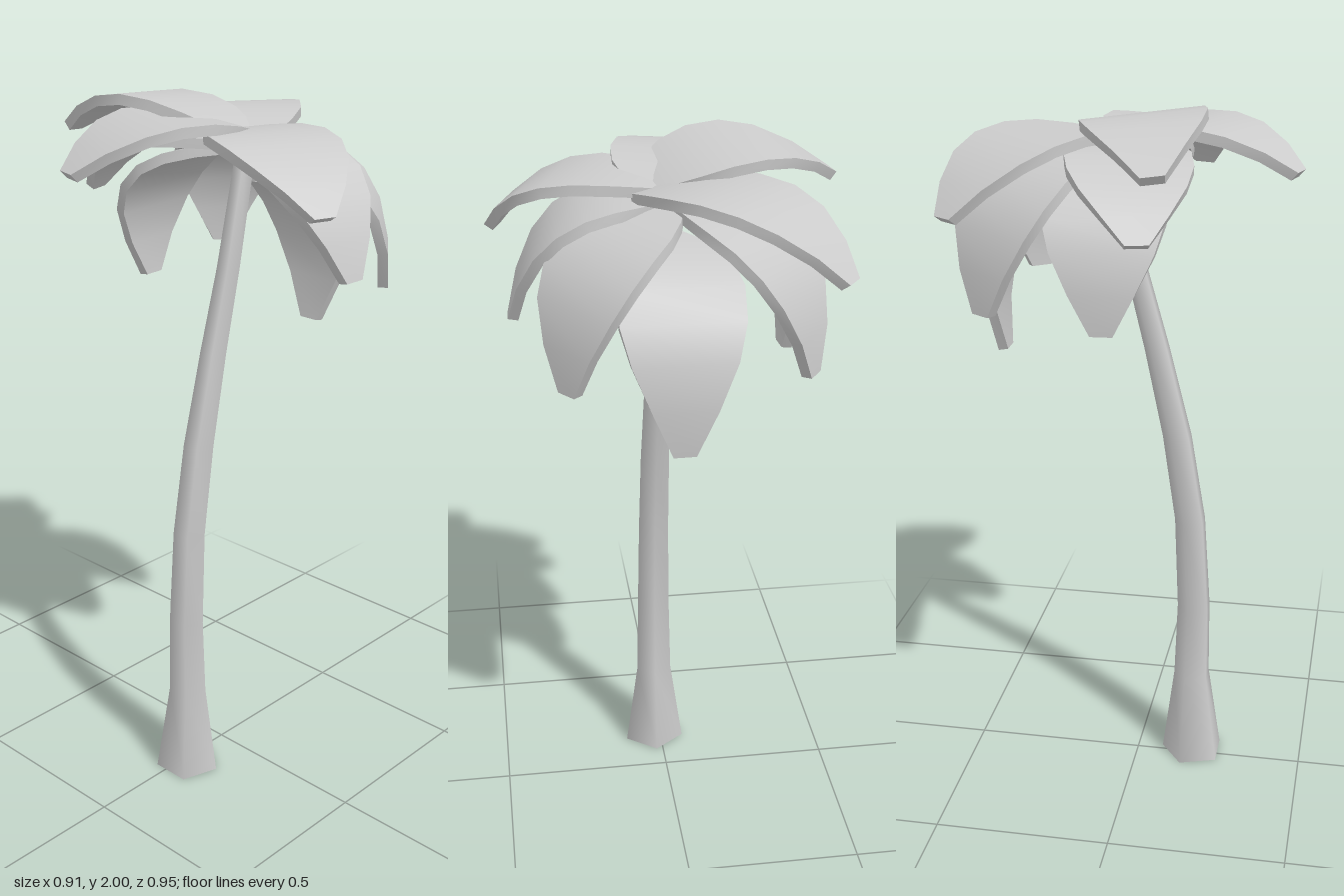
import * as THREE from 'three';
import { toCreasedNormals } from 'three/addons/utils/BufferGeometryUtils.js';

const UP = new THREE.Vector3(0, 1, 0);

// Skin a list of equal cross-sections and close both ends.
function loft(rings, crease) {
  const pos = [];
  const tri = (...pts) => pts.forEach((p) => pos.push(p.x, p.y, p.z));
  const n = rings[0].length;
  for (let i = 0; i < rings.length - 1; i++) {
    const a = rings[i], b = rings[i + 1];
    for (let j = 0; j < n; j++) {
      const k = (j + 1) % n;
      tri(a[j], b[j], b[k]);
      tri(a[j], b[k], a[k]);
    }
  }
  const first = rings[0], last = rings[rings.length - 1];
  for (let j = 1; j < n - 1; j++) {
    tri(first[0], first[j], first[j + 1]);
    tri(last[0], last[j + 1], last[j]);
  }
  const geometry = new THREE.BufferGeometry();
  geometry.setAttribute('position', new THREE.Float32BufferAttribute(pos, 3));
  return toCreasedNormals(geometry, crease);
}

// Five-sided trunk: height, centre x, radius of each ring
function trunkGeometry() {
  const sections = [
    [0, -0.17, 0.095], [0.27, -0.165, 0.056], [0.5, -0.168, 0.051], [0.78, -0.153, 0.047],
    [1.04, -0.112, 0.044], [1.3, -0.052, 0.038], [1.53, 0.008, 0.033], [1.86, 0.08, 0.028],
  ];
  const rings = sections.map(([y, x, r]) => Array.from({ length: 5 }, (_, i) => {
    const a = (i / 5) * Math.PI * 2;
    return new THREE.Vector3(x + r * Math.cos(a), y, 0.02 + r * Math.sin(a));
  }));
  return loft(rings, 1.3);
}

// Leaf slab: position along the midrib and half width there
const OUTLINE = [
  [0, 0.04], [0.1, 0.1], [0.22, 0.145], [0.36, 0.163],
  [0.52, 0.16], [0.68, 0.135], [0.85, 0.085], [1, 0.03],
];
const HALF_THICKNESS = 0.014;

function leafGeometry({ root, tip, reach, lift, roll = 0 }) {
  const a = new THREE.Vector3(...root), c = new THREE.Vector3(...tip);
  const b = a.clone().lerp(c, reach).setY(lift);
  const midrib = new THREE.QuadraticBezierCurve3(a, b, c);
  const heading = c.clone().sub(a).setY(0).normalize();
  const across = heading.clone().cross(UP);
  across.y += roll;
  across.normalize();
  const rings = OUTLINE.map(([t, w]) => {
    const p = midrib.getPoint(t);
    const normal = across.clone().cross(midrib.getTangent(t)).normalize();
    return [[1, -1], [1, 1], [-1, 1], [-1, -1]].map(([u, v]) => p.clone()
      .addScaledVector(across, u * w)
      .addScaledVector(normal, v * HALF_THICKNESS));
  });
  return loft(rings, 0.5);
}

// Crown: upper leaves cross at the centre and arch outward, lower leaves hang down
const UPPER = [
  { root: [0.02, 1.87, 0.09], tip: [-0.115, 1.87, -0.46], reach: 0.54, lift: 2.07, roll: -0.1 },
  { root: [0.07, 1.88, 0.08], tip: [0.42, 1.74, -0.395], reach: 0.68, lift: 2.0 },
  { root: [0.04, 1.88, -0.02], tip: [-0.125, 1.76, 0.455], reach: 0.73, lift: 1.98 },
  { root: [0.1, 1.87, 0.03], tip: [-0.435, 1.83, -0.115], reach: 0.6, lift: 2.03 },
  { root: [0.05, 1.86, 0.02], tip: [-0.07, 1.7, -0.425], reach: 0.72, lift: 1.93 },
];
const LOWER = [
  { root: [0.06, 1.85, 0.01], tip: [0.045, 1.56, 0.415], reach: 0.84, lift: 1.92 },
  { root: [0.13, 1.85, 0.0], tip: [0.35, 1.46, 0.29], reach: 1.04, lift: 1.85 },
  { root: [0.08, 1.77, 0.01], tip: [0.385, 1.29, 0.005], reach: 1.28, lift: 1.75 },
  { root: [0.14, 1.86, -0.02], tip: [0.35, 1.48, -0.325], reach: 1.0, lift: 1.86 },
  { root: [0.06, 1.85, 0.01], tip: [0.04, 1.44, -0.32], reach: 1.15, lift: 1.82 },
];

export function createModel() {
  const model = new THREE.Group();
  model.name = 'palmTree';
  const material = new THREE.MeshStandardMaterial({ color: 0xcccccc });
  const add = (geometry, name, parent) => {
    const mesh = new THREE.Mesh(geometry, material);
    mesh.name = name;
    parent.add(mesh);
  };
  add(trunkGeometry(), 'trunk', model);

  const crown = new THREE.Group();
  crown.name = 'crown';
  model.add(crown);
  UPPER.forEach((leaf, i) => add(leafGeometry(leaf), `upperLeaf${i + 1}`, crown));
  LOWER.forEach((leaf, i) => add(leafGeometry(leaf), `lowerLeaf${i + 1}`, crown));
  return model;
}
